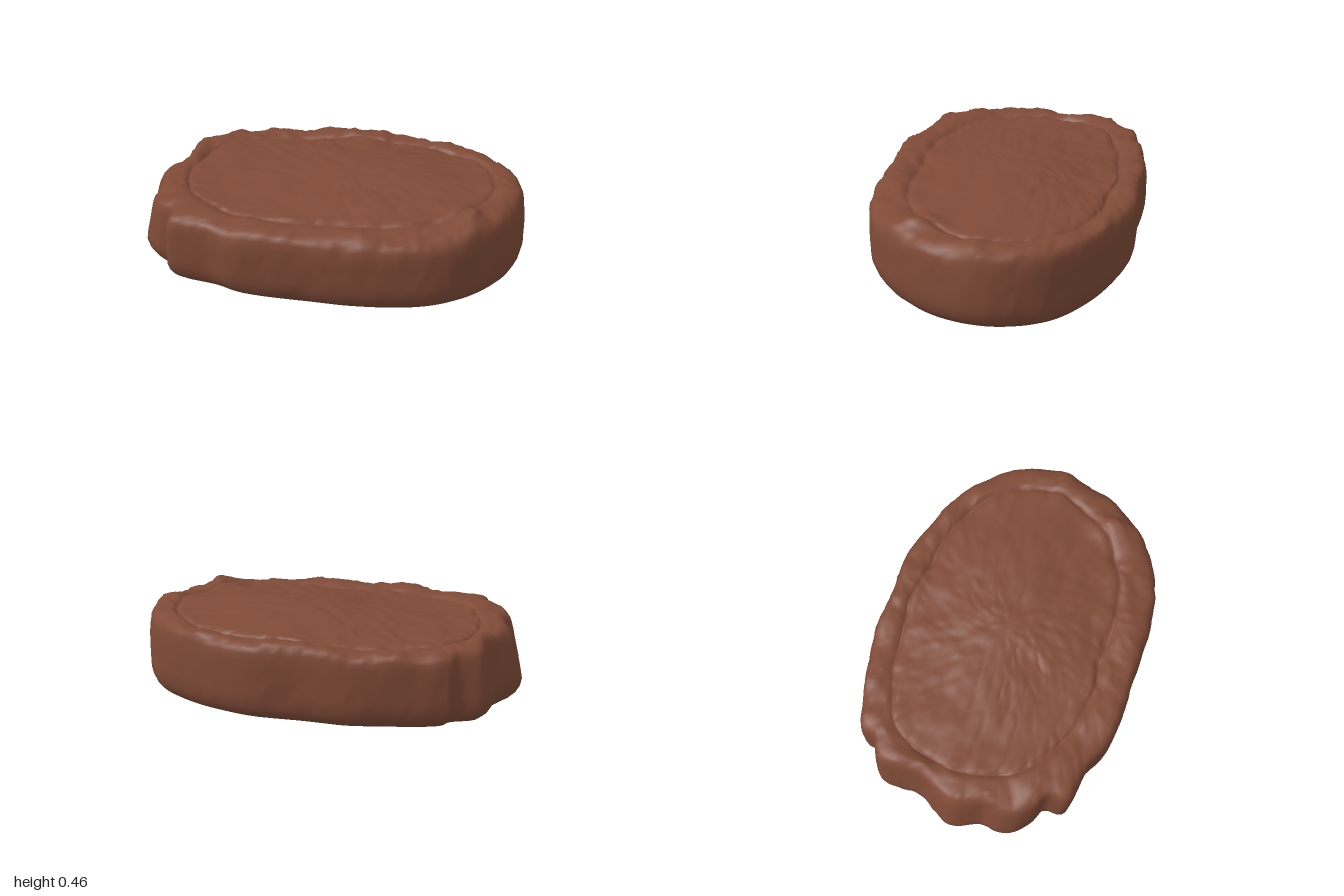
import * as THREE from 'three';

const SIDES = 220;

// Smooth seeded 3D value noise in -1..1
function hash(x, y, z) {
  const s = Math.sin(x * 127.1 + y * 311.7 + z * 74.7) * 43758.5453;
  return (s - Math.floor(s)) * 2 - 1;
}
function noise(x, y, z) {
  const ix = Math.floor(x), iy = Math.floor(y), iz = Math.floor(z);
  const ease = t => t * t * (3 - 2 * t);
  const fx = ease(x - ix), fy = ease(y - iy), fz = ease(z - iz);
  let sum = 0;
  for (let k = 0; k < 8; k++) {
    const a = k & 1, b = (k >> 1) & 1, c = k >> 2;
    sum += hash(ix + a, iy + b, iz + c) *
      (a ? fx : 1 - fx) * (b ? fy : 1 - fy) * (c ? fz : 1 - fz);
  }
  return sum;
}

// Rounded hill of height 1 centred on (cx, cz)
const hill = (x, z, cx, cz, rx, rz) => Math.exp(-(((x - cx) / rx) ** 2) - ((z - cz) / rz) ** 2);

// Irregular footprint (x, z), counterclockwise from above
const OUTLINE = [
  [1, 0], [0.97, -0.2], [0.88, -0.37], [0.65, -0.545], [0.42, -0.64], [0.25, -0.68],
  [0, -0.67], [-0.25, -0.685], [-0.45, -0.64], [-0.6, -0.61], [-0.73, -0.555], [-0.75, -0.49],
  [-0.88, -0.42], [-0.9, -0.2], [-0.95, -0.1], [-1, 0], [-0.95, 0.13], [-0.94, 0.3],
  [-0.86, 0.4], [-0.77, 0.45], [-0.76, 0.545], [-0.55, 0.59], [-0.4, 0.655], [0, 0.675],
  [0.25, 0.68], [0.6, 0.61], [0.8, 0.46], [0.94, 0.25],
];

// Wall and rim section: [blend from outer to inner loop, height]
const SECTION = [
  [0.8, 0], [0.5, 0.004], [0.3, 0.015], [0.16, 0.04], [0.07, 0.07], [0.015, 0.11], [0, 0.15],
  [0, 0.2], [0, 0.24], [0, 0.28], [0.01, 0.32], [0.04, 0.35], [0.1, 0.372], [0.2, 0.385],
  [0.35, 0.392], [0.5, 0.393], [0.64, 0.392], [0.78, 0.388], [0.88, 0.382], [0.95, 0.374],
  [1, 0.37], [1.06, 0.374], [1.13, 0.381],
];
const CENTRE = new THREE.Vector3(0.02, 0.385, -0.03);
const CAP_ROWS = 26;

// Cross-section loops from the underside, over the rim, to the middle
function makeRows(outer) {
  // Rounded loop followed by the groove between rim and middle
  const inner = outer.map(p => {
    const a = Math.atan2(p.z / 0.52, p.x / 0.82), c = Math.cos(a), s = Math.sin(a);
    const r = Math.pow(Math.abs(c) ** 2.35 + Math.abs(s) ** 2.35, -1 / 2.35);
    return new THREE.Vector3(CENTRE.x + 0.81 * r * c, 0, CENTRE.z + 0.52 * r * s);
  });
  const rows = SECTION.map(([w, y]) => outer.map((p, j) => p.clone().lerp(inner[j], w).setY(y)));
  const edge = rows[rows.length - 1];
  for (let i = 1; i < CAP_ROWS; i++)
    rows.push(edge.map(p => p.clone().lerp(CENTRE, i / CAP_ROWS)));
  rows.push(edge.map(() => CENTRE.clone()));
  return rows;
}

// Hand-shaped surface, left flat at the base
function roughen(p, out, i) {
  const { x, y, z } = p;
  const lift = Math.min(1, y / 0.1);
  const top = THREE.MathUtils.smoothstep(y, 0.3, 0.38);
  const onRim = i < SECTION.length;
  const bump = 0.012 * noise(x * 7, y * 3, z * 7) + 0.007 * noise(x * 17 + 5, y * 6, z * 17)
    + 0.005 * noise(x * 34, y * 26, z * 34);
  if (onRim) {
    // Narrow upright creases towards the left end of the wall
    const crease = Math.max(0, 1 - Math.abs(noise(x * 6 + 9, 0.5, z * 6)) * 9)
      * (1 - top) * THREE.MathUtils.smoothstep(-x, 0.2, 0.7);
    p.addScaledVector(out, lift * (0.55 * bump - 0.01 * crease));
    // Wavering path for the rim and groove
    if (i > 15) p.addScaledVector(out, 0.025 * noise(x * 5 + 3, 1.5, z * 5));
  }
  // Swelling right of centre, lumps on the right front rim, and fine cracks
  const ridge = Math.max(0, 1 - Math.abs(noise(x * 4, 7.5, z * 9)) * 10);
  p.y += top * (0.07 * hill(x, z, 0.27, -0.04, 0.6, 0.42)
    + 0.035 * hill(x, z, 0.74, 0.3, 0.09, 0.1) + 0.015 * hill(x, z, -0.7, 0.38, 0.12, 0.12)
    + (onRim ? 1.2 : 0.6) * bump - 0.004 * ridge);
  // Ends lean inward as they rise, long sides flare slightly outward
  const rise = Math.max(0, y - 0.11);
  p.x *= 1 - rise * (x > 0 ? 0.06 : 0.23 * THREE.MathUtils.smoothstep(-x, 0.6, 1));
  p.z *= 1 + 0.07 * (y - 0.33);
}

function slabGeometry() {
  const curve = new THREE.CatmullRomCurve3(
    OUTLINE.map(([x, z]) => new THREE.Vector3(x, 0, z)), true, 'centripetal');
  const outer = curve.getSpacedPoints(SIDES).slice(0, SIDES);
  const rows = makeRows(outer);
  rows.forEach((row, i) => row.forEach((p, j) => roughen(p, outer[j].clone().normalize(), i)));

  const positions = [], index = [];
  rows.forEach(row => row.forEach(p => positions.push(p.x, p.y, p.z)));
  const at = (i, j) => i * SIDES + (j % SIDES);
  const last = rows.length - 1;
  for (let i = 0; i < last; i++)
    for (let j = 0; j < SIDES; j++) {
      const a = at(i, j), b = at(i, j + 1), c = at(i + 1, j + 1), d = at(i + 1, j);
      // The final loop is a single point
      if (i === last - 1) index.push(a, b, last * SIDES);
      else index.push(a, b, c, a, c, d);
    }
  // Close the underside
  const bottom = positions.length / 3;
  positions.push(0, 0, 0);
  for (let j = 0; j < SIDES; j++) index.push(bottom, at(0, j + 1), at(0, j));

  const geo = new THREE.BufferGeometry();
  geo.setAttribute('position', new THREE.Float32BufferAttribute(positions, 3));
  geo.setIndex(index);
  geo.computeVertexNormals();
  return geo;
}

export function createModel() {
  const group = new THREE.Group();
  group.name = 'roughOvalSlab';
  const brown = new THREE.MeshStandardMaterial({ color: 0x7f4a37 });
  brown.name = 'earthBrown';
  const slab = new THREE.Mesh(slabGeometry(), brown);
  slab.name = 'slab';
  group.add(slab);
  return group;
}
